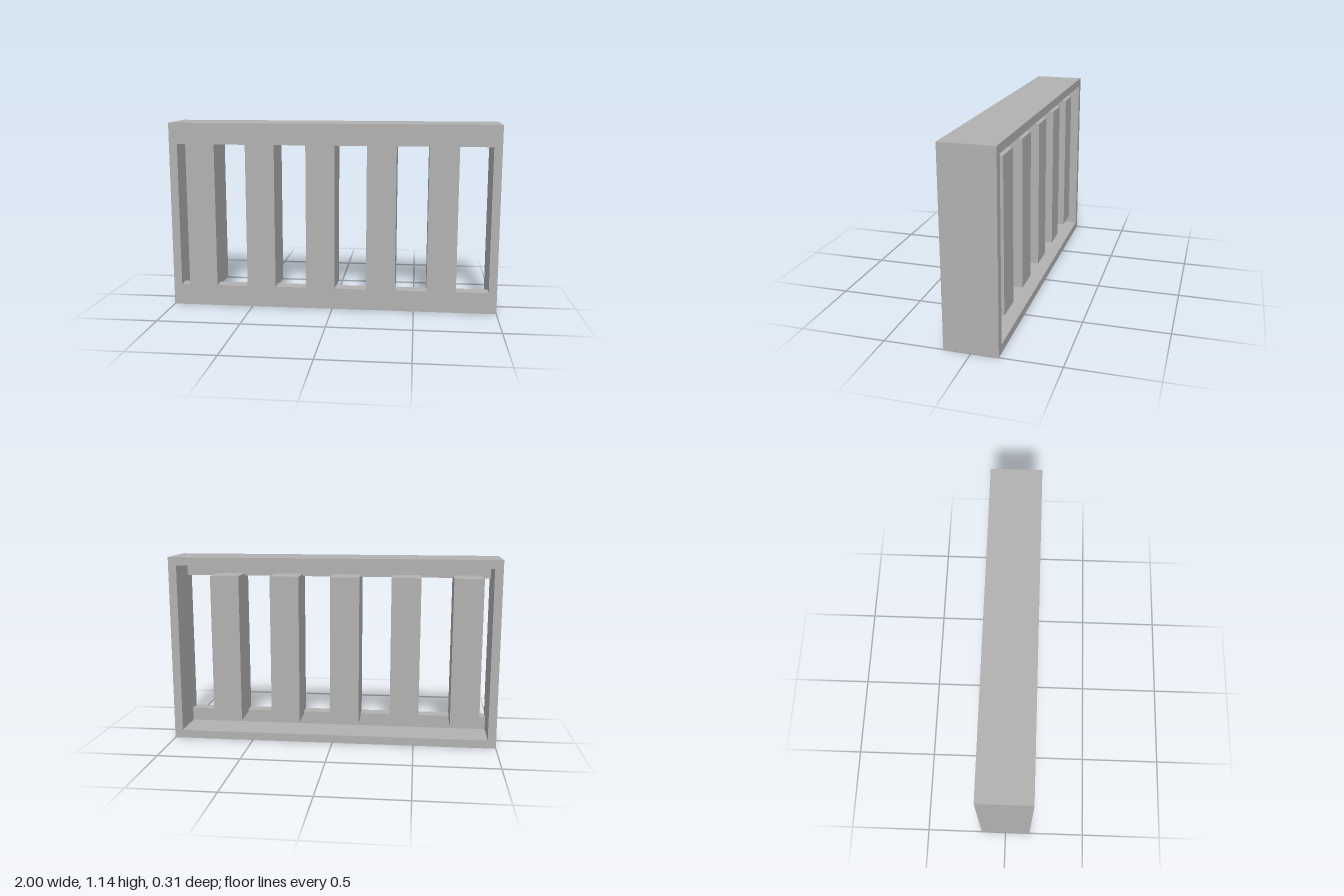
import * as THREE from 'three';

const W = 2, H = 1.14, BACK = -0.155, FRONT = 0.155, PANEL_BACK = 0.072;
const WALL = 0.05;
const BAR_W = 0.177, BAR_BACK = -0.111;
const BAR_CENTRES = [-0.81, -0.441, -0.072, 0.297, 0.666];

// Adds a rectangle to a shape or path
function rect(path, x0, y0, x1, y1) {
  path.moveTo(x0, y0);
  path.lineTo(x1, y0);
  path.lineTo(x1, y1);
  path.lineTo(x0, y1);
  path.closePath();
  return path;
}

// Full-size slab between two depths, pierced by rectangular holes
function slab(name, holes, z0, z1, material) {
  const shape = rect(new THREE.Shape(), -W / 2, 0, W / 2, H);
  for (const h of holes) shape.holes.push(rect(new THREE.Path(), ...h));
  const geometry = new THREE.ExtrudeGeometry(shape, { depth: z1 - z0, bevelEnabled: false });
  geometry.translate(0, 0, z0);
  const mesh = new THREE.Mesh(geometry, material);
  mesh.name = name;
  return mesh;
}

export function createModel() {
  const group = new THREE.Group();
  group.name = 'barredFrame';
  const grey = new THREE.MeshStandardMaterial({ color: 0xb2b2b2 });
  grey.name = 'grey';

  // Front panel: slots run between neighbouring bars and the side walls
  const slots = [];
  let left = -W / 2 + WALL;
  for (const x of BAR_CENTRES) {
    slots.push([left, 0.13, x - BAR_W / 2, 1.01]);
    left = x + BAR_W / 2;
  }
  slots.push([left, 0.13, W / 2 - WALL, 1.01]);
  group.add(slab('frontPanel', slots, PANEL_BACK, FRONT, grey));

  // Thin-walled rim, open at the back
  const opening = [-W / 2 + WALL, WALL, W / 2 - WALL, H - WALL];
  group.add(slab('rim', [opening], BACK, PANEL_BACK, grey));

  // Deep bars behind the panel, slightly taller than the slots
  const bars = new THREE.Group();
  bars.name = 'bars';
  const barGeometry = new THREE.BoxGeometry(BAR_W, 0.91, PANEL_BACK - BAR_BACK);
  for (const x of BAR_CENTRES) {
    const bar = new THREE.Mesh(barGeometry, grey);
    bar.name = 'bar';
    bar.position.set(x, H / 2, (PANEL_BACK + BAR_BACK) / 2);
    bars.add(bar);
  }
  group.add(bars);
  return group;
}
